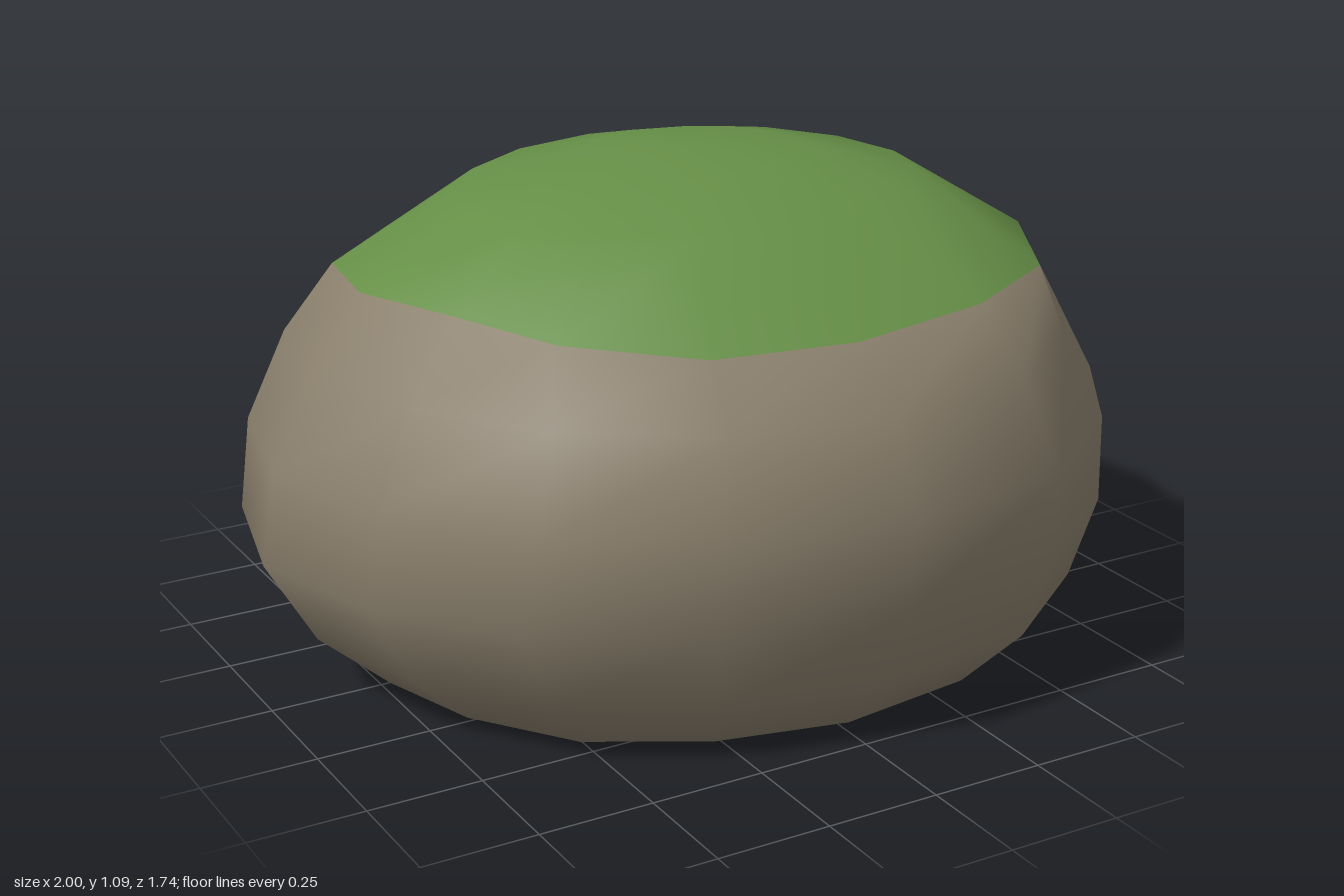
import * as THREE from 'three';

// Plan outline, counter-clockwise from +x (about unit size)
const outline = [
  [1, -0.01], [0.93, -0.38], [0.74, -0.7], [0.41, -0.9], [0.03, -1], [-0.35, -0.91], [-0.67, -0.69], [-0.92, -0.39],
  [-1, 0], [-0.9, 0.36], [-0.69, 0.69], [-0.36, 0.9], [0.03, 1], [0.43, 0.93], [0.73, 0.66], [0.92, 0.34],
];

// Irregular edge of the moss: x, y, z in the same order
const mossEdge = [
  [0.69, 0.91, -0.02], [0.71, 0.86, -0.23], [0.59, 0.845, -0.49], [0.32, 0.86, -0.6],
  [0.03, 0.88, -0.66], [-0.27, 0.87, -0.62], [-0.52, 0.87, -0.45], [-0.71, 0.87, -0.27],
  [-0.76, 0.885, 0], [-0.67, 0.89, 0.25], [-0.54, 0.865, 0.45], [-0.29, 0.84, 0.61],
  [0.02, 0.84, 0.66], [0.33, 0.865, 0.64], [0.57, 0.88, 0.52], [0.69, 0.9, 0.28],
];

// A level ring: height, reach to -x, +x, +z and -z, and slope along z
function ring(y, left, right, front, back, tilt = 0) {
  return outline.map(([x, z]) => {
    const pz = z * (z > 0 ? front : back);
    return [x * (x > 0 ? right : left), y - tilt * pz, pz];
  });
}

export function createModel() {
  const stone = new THREE.MeshStandardMaterial({ color: 0x8a7f6c });
  stone.name = 'stone';
  const moss = new THREE.MeshStandardMaterial({ color: 0x668f47 });
  moss.name = 'moss';

  const rings = [
    ring(0, 0.4, 0.45, 0.35, 0.35),
    ring(0, 0.73, 0.8, 0.65, 0.63),
    ring(0.14, 0.89, 0.95, 0.78, 0.76),
    ring(0.33, 1, 1, 0.85, 0.86),
    ring(0.53, 0.97, 0.98, 0.872, 0.872),
    ring(0.725, 0.88, 0.87, 0.8, 0.8),
    mossEdge,
    ring(1.015, 0.52, 0.55, 0.41, 0.47, 0.01),
    ring(1.07, 0.22, 0.3, 0.15, 0.24, 0.04),
  ];
  const n = outline.length;
  const edgeRow = rings.indexOf(mossEdge);
  const positions = rings.flat(2);
  const bottom = rings.length * n;
  const top = bottom + 1;
  positions.push(0.03, 0, 0, 0.06, 1.085, -0.06);

  // Underside, then sides upward, then the crown
  const index = [];
  let mossStart = 0;
  for (let j = 0; j < n; j++) index.push(bottom, (j + 1) % n, j);
  for (let i = 0; i < rings.length - 1; i++) {
    if (i === edgeRow) mossStart = index.length;
    for (let j = 0; j < n; j++) {
      const k = (j + 1) % n;
      const a = i * n + j, b = i * n + k;
      index.push(a, b, b + n, a, b + n, a + n);
    }
  }
  const last = (rings.length - 1) * n;
  for (let j = 0; j < n; j++) index.push(last + j, last + (j + 1) % n, top);

  // One smooth surface; the moss is the upper group of faces
  const geometry = new THREE.BufferGeometry();
  geometry.setAttribute('position', new THREE.Float32BufferAttribute(positions, 3));
  geometry.setIndex(index);
  geometry.computeVertexNormals();
  geometry.addGroup(0, mossStart, 0);
  geometry.addGroup(mossStart, index.length - mossStart, 1);

  const boulder = new THREE.Mesh(geometry, [stone, moss]);
  boulder.name = 'mossyBoulder';
  const group = new THREE.Group();
  group.name = 'boulder';
  group.add(boulder);
  return group;
}
